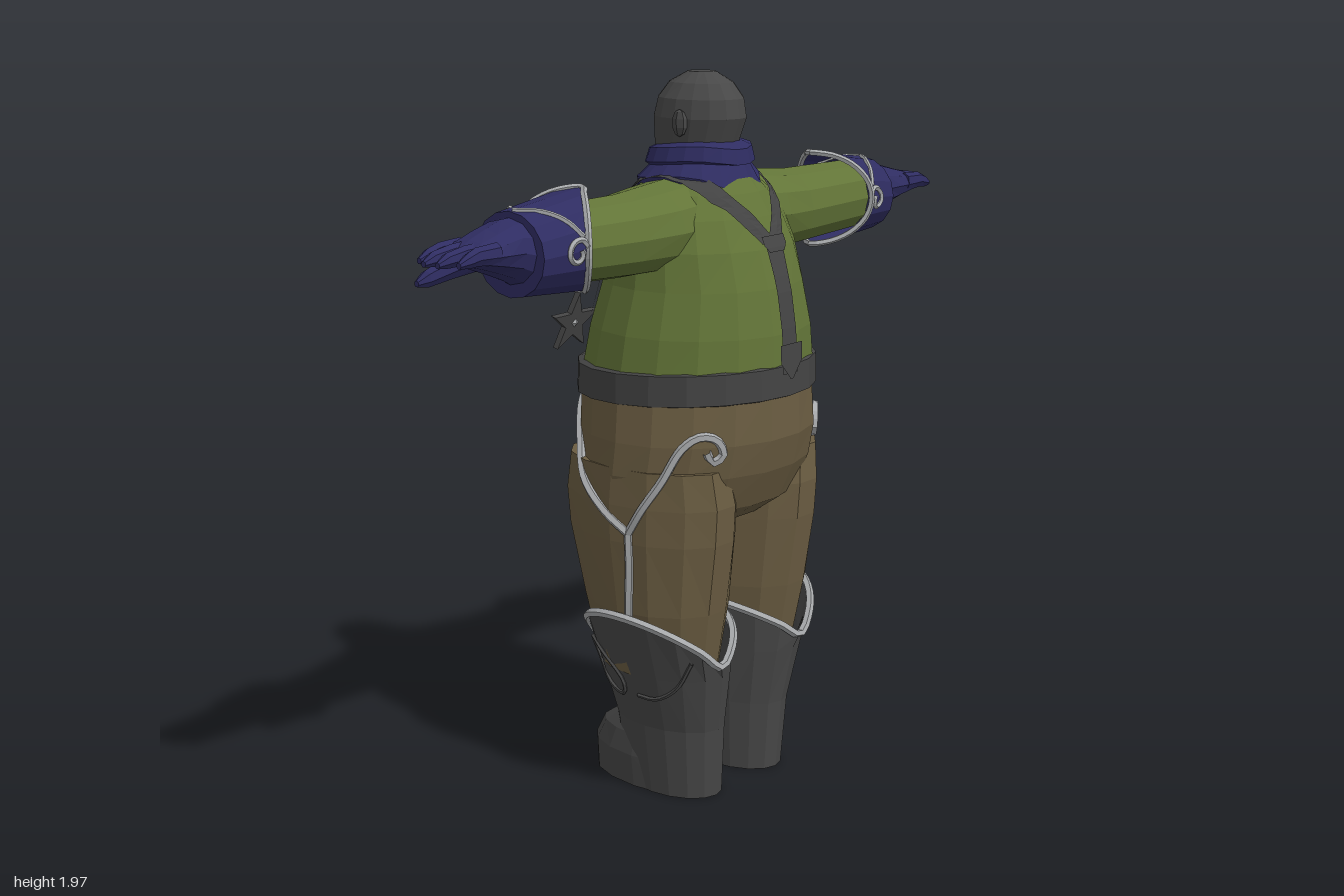
import * as THREE from 'three';

const V = (x, y, z) => new THREE.Vector3(x, y, z);
const RAD = Math.PI / 180;
const mat = (name, color, side = THREE.FrontSide) => {
  const m = new THREE.MeshStandardMaterial({ color, side });
  m.name = name;
  return m;
};

// Faceted normals
const flat = (geo) => {
  const g = geo.index ? geo.toNonIndexed() : geo;
  g.computeVertexNormals();
  return g;
};

// Skin between rings of equal length, closed at the chosen ends
function loft(rings, capStart = true, capEnd = true) {
  const out = [], n = rings[0].length;
  const tri = (...ps) => ps.forEach((p) => out.push(p.x, p.y, p.z));
  const centre = (r) => r.reduce((s, p) => s.add(p), V(0, 0, 0)).divideScalar(n);
  for (let i = 0; i < rings.length - 1; i++) {
    for (let j = 0; j < n; j++) {
      const k = (j + 1) % n, a = rings[i], b = rings[i + 1];
      tri(a[j], a[k], b[k]);
      tri(a[j], b[k], b[j]);
    }
  }
  const first = rings[0], last = rings[rings.length - 1], c0 = centre(first), c1 = centre(last);
  for (let j = 0; j < n; j++) {
    const k = (j + 1) % n;
    if (capStart) tri(c0, first[k], first[j]);
    if (capEnd) tri(c1, last[j], last[k]);
  }
  const g = new THREE.BufferGeometry();
  g.setAttribute('position', new THREE.Float32BufferAttribute(out, 3));
  return flat(g);
}
const angles = (n) => Array.from({ length: n }, (_, j) => (j / n) * Math.PI * 2);

// Upright loft, sections [y, centreX, radiusX, zMax, zMin]; warp may move points
const yRings = (secs, n = 16, warp = () => {}) => secs.map(([y, cx, rx, z1, z0], i) => angles(n).map((a) => {
  const p = V(cx + rx * Math.cos(a), y, (z1 + z0) / 2 - (z1 - z0) / 2 * Math.sin(a));
  warp(p, i, a);
  return p;
}));
// Sideways loft, sections [x, centreY, radiusY, centreZ, radiusZ]
const xLoft = (secs, n = 12) => loft(secs.map(([x, cy, ry, cz, rz]) =>
  angles(n).map((a) => V(x, cy + ry * Math.cos(a), cz + rz * Math.sin(a)))));

const tube = (pts, r = 0.01, closed = false) => flat(new THREE.TubeGeometry(
  new THREE.CatmullRomCurve3(pts, closed, 'centripetal'), pts.length * 3, r, 5, closed));

function mirrored(geo) {
  const g = geo.clone().scale(-1, 1, 1), p = g.attributes.position;
  for (let i = 0; i < p.count; i += 3) {
    const b = V().fromBufferAttribute(p, i + 1), c = V().fromBufferAttribute(p, i + 2);
    p.setXYZ(i + 1, c.x, c.y, c.z);
    p.setXYZ(i + 2, b.x, b.y, b.z);
  }
  return flat(g);
}

export function createModel() {
  const model = new THREE.Group();
  const D = THREE.DoubleSide;
  const green = mat('greenShirt', 0x637538), brown = mat('brownTrousers', 0x6b5d42);
  const blue = mat('navyCloth', 0x2f2d62, D), hood = mat('greyHood', 0x484848);
  const leather = mat('darkLeather', 0x444444, D), boot = mat('bootLeather', 0x474747, D);
  const silver = mat('silverTrim', 0xa9abad);

  const add = (name, geo, m) => {
    const mesh = new THREE.Mesh(geo, m);
    mesh.name = name;
    model.add(mesh);
    return mesh;
  };
  const pair = (name, geo, m) => [add(name + 'Left', geo, m), add(name + 'Right', mirrored(geo), m)];

  // Head with ears
  add('head', loft(yRings([
    [1.70, 0, 0.08, 0.07, -0.09], [1.76, 0, 0.098, 0.115, -0.118], [1.85, 0, 0.108, 0.15, -0.122],
    [1.90, 0, 0.1, 0.142, -0.108], [1.94, 0, 0.074, 0.112, -0.075], [1.968, 0, 0.034, 0.06, -0.02],
  ])), hood);
  pair('ear', flat(new THREE.SphereGeometry(1, 6, 5).scale(0.014, 0.036, 0.024).translate(0.108, 1.84, 0.035)), hood);

  // Scarf: two tilted rolls, drooping to a point behind
  add('scarf', loft(yRings([
    [1.64, 0, 0.1, 0.14, -0.13], [1.655, 0, 0.15, 0.18, -0.165], [1.70, 0, 0.155, 0.182, -0.165],
    [1.73, 0, 0.125, 0.15, -0.13], [1.738, 0, 0.137, 0.168, -0.142], [1.775, 0, 0.125, 0.16, -0.13],
    [1.785, 0, 0.1, 0.12, -0.1],
  ], 18, (p, i) => {
    p.y += 0.1 * p.z - (i < 3 ? 0.05 : 0.025) * Math.max(0, p.z / 0.17) ** 4;
  })), blue);

  // Shirt
  const torso = add('shirt', loft(yRings([
    [1.17, 0, 0.322, 0.322, -0.308], [1.30, 0, 0.306, 0.314, -0.28], [1.42, 0, 0.277, 0.292, -0.243],
    [1.52, 0, 0.265, 0.26, -0.21], [1.60, 0, 0.24, 0.222, -0.175], [1.66, 0, 0.19, 0.19, -0.15],
    [1.71, 0, 0.12, 0.155, -0.125], [1.74, 0, 0.08, 0.11, -0.09],
  ], 18)), green);
  const sleeves = pair('sleeve', xLoft([
    [0.08, 1.585, 0.12, 0.02, 0.14], [0.22, 1.575, 0.115, 0.02, 0.135],
    [0.35, 1.57, 0.108, 0.025, 0.108], [0.62, 1.575, 0.1, 0.025, 0.1],
  ]), green);

  // Belt
  add('belt', loft(yRings([
    [1.118, 0, 0.318, 0.315, -0.312], [1.122, 0, 0.33, 0.327, -0.325],
    [1.203, 0, 0.328, 0.325, -0.322], [1.21, 0, 0.31, 0.31, -0.3],
  ], 20, (p) => { p.y += 0.04 * p.z; })), leather);

  // Trousers
  const hips = add('trouserSeat', loft(yRings([
    [0.775, 0, 0.27, 0.17, -0.2], [0.83, 0, 0.325, 0.25, -0.265], [0.93, 0, 0.345, 0.297, -0.295],
    [1.02, 0, 0.34, 0.318, -0.3], [1.16, 0, 0.322, 0.315, -0.308],
  ], 18)), brown);
  const legs = pair('trouserLeg', loft(yRings([
    [0.36, 0.165, 0.13, 0.19, -0.175], [0.55, 0.172, 0.162, 0.225, -0.215],
    [0.75, 0.177, 0.171, 0.255, -0.268], [0.85, 0.178, 0.17, 0.262, -0.28], [0.95, 0.19, 0.152, 0.25, -0.26],
  ], 14)), brown);

  // Boots with pointed tops and forward feet
  const shaft = yRings([
    [0, 0.133, 0.098, 0.185, -0.12], [0.2, 0.14, 0.11, 0.198, -0.15],
    [0.36, 0.156, 0.138, 0.225, -0.185], [0.4, 0.173, 0.17, 0.236, -0.205],
  ], 16, (p, i, a) => {
    const c = Math.cos(a);
    if (i === 3) p.y += (c > 0 ? 0.14 : 0.11) * Math.abs(c);
  });
  const shafts = pair('bootShaft', loft(shaft, true, false), boot);
  pair('bootFoot', loft(yRings([
    [0, 0.133, 0.1, 0.18, -0.243], [0.09, 0.133, 0.104, 0.17, -0.245],
    [0.15, 0.133, 0.094, 0.15, -0.212], [0.2, 0.135, 0.075, 0.13, -0.14],
  ], 14)), boot);
  pair('bootTrim', tube(shaft[3], 0.012, true), silver);

  // Surface finder: first hit of a ray travelling from outside towards a pivot
  const ray = new THREE.Raycaster();
  const surface = (meshes, pivot, dir, lift) => {
    ray.set(pivot.clone().addScaledVector(dir, 1), dir.clone().negate());
    const hit = ray.intersectObjects(meshes, false)[0];
    return (hit ? hit.point : pivot.clone()).addScaledVector(dir, lift);
  };
  // Around the body: pairs [degrees from +x towards +z, y]
  const around = (meshes, pts) => pts.map(([a, y]) =>
    surface(meshes, V(0, y, 0), V(Math.cos(a * RAD), 0, Math.sin(a * RAD)), 0.004));

  // Forked scroll trim on the trouser sides
  const cloth = [hips, ...legs];
  [
    [[7, 0.53], [8, 0.6], [9, 0.7], [9, 0.78]],
    [[9, 0.78], [16, 0.85], [25, 0.93], [34, 1.02], [42, 1.05], [50, 1.04], [53, 1.0], [48, 0.98], [45, 1.01]],
    [[9, 0.78], [-4, 0.83], [-18, 0.9], [-33, 0.99], [-48, 1.06], [-62, 1.08], [-71, 1.05], [-71, 1.0], [-65, 0.98], [-61, 1.01]],
  ].forEach((pts, i) => pair('trouserTrim' + (i + 1), tube(around(cloth, pts), 0.0125), silver));

  // Raised stitching on the boot sides
  [
    [[-33, 0.42], [-20, 0.4], [-4, 0.33], [-6, 0.29], [-20, 0.3], [-32, 0.36], [-33, 0.42]],
    [[38, 0.42], [30, 0.34], [18, 0.3], [6, 0.3]],
  ].forEach((pts, i) => pair('bootStitch' + (i + 1), tube(around(shafts, pts), 0.006), boot));

  // Ribbon over the torso: stops [degrees from +z over the top, x, half width]
  const shirt = [torso, ...sleeves];
  const ribbon = (stops, lift) => {
    const rows = [], steps = 5;
    for (let i = 0; i < stops.length - 1; i++) {
      for (let s = i ? 1 : 0; s <= steps; s++) {
        const [a, x, w] = stops[i].map((v, k) => THREE.MathUtils.lerp(v, stops[i + 1][k], s / steps));
        const dir = V(0, Math.sin(a * RAD), Math.cos(a * RAD));
        rows.push([-w, 0, w].map((d) => surface(shirt, V(x + d, 1.45, 0), dir, lift)));
      }
    }
    const idx = [];
    for (let i = 0; i < rows.length - 1; i++) {
      for (let j = 0; j < 2; j++) {
        const a = i * 3 + j;
        idx.push(a, a + 1, a + 4, a, a + 4, a + 3);
      }
    }
    const g = new THREE.BufferGeometry().setFromPoints(rows.flat());
    g.setIndex(idx);
    return flat(g);
  };
  pair('brace', ribbon([
    [18, 0.012, 0.03], [30, 0.05, 0.028], [50, 0.11, 0.025], [75, 0.145, 0.024], [110, 0.15, 0.024],
    [140, 0.152, 0.024], [170, 0.165, 0.024], [212, 0.185, 0.025],
  ], 0.012), leather);
  add('braceStem', ribbon([[20, 0, 0.034], [0, 0, 0.03], [-38, 0, 0.03]], 0.014), leather);
  add('braceJoint', ribbon([[22, 0, 0.045], [17, 0, 0.045], [13, 0, 0.03]], 0.019), leather);
  add('braceTab', ribbon([[-28, 0, 0.045], [-34, 0, 0.045], [-39, 0, 0.006]], 0.02), leather);
  add('diamondPatch', ribbon([[166, 0, 0.001], [179, 0, 0.045], [192, 0, 0.001]], 0.006), blue);

  // Star clasps on the brace ends
  const star = new THREE.Shape(Array.from({ length: 10 }, (_, i) => {
    const r = i % 2 ? 0.035 : 0.088, a = (90 + i * 36) * RAD;
    return new THREE.Vector2(r * Math.cos(a), r * Math.sin(a));
  }));
  const place = (g) => flat(g.rotateX(0.25).translate(0.185, 1.285, -0.295));
  pair('claspStar', place(new THREE.ExtrudeGeometry(star, { depth: 0.018, bevelEnabled: false })), leather);
  pair('claspGem', place(new THREE.OctahedronGeometry(1).scale(0.045, 0.045, 0.025)), silver);

  // Glove cuffs, pointed above and below
  const cuffPoint = (t, a) => {
    const mix = (p, q) => THREE.MathUtils.lerp(p, q, t);
    return V(mix(0.475 + 0.115 * Math.abs(Math.sin(a)), 0.725), mix(1.58, 1.57) + mix(0.13, 0.107) * Math.cos(a),
      mix(0.025, 0.02) + mix(0.132, 0.118) * Math.sin(a));
  };
  const cuffRing = (t) => angles(16).map((a) => cuffPoint(t, a));
  pair('gloveCuff', loft([0, 0.5, 1].map(cuffRing), false, true), blue);
  pair('cuffTrim', tube(cuffRing(0), 0.009, true), silver);
  for (const s of [1, -1]) {
    const side = s > 0 ? 'Back' : 'Front';
    const curl = Array.from({ length: 10 }, (_, i) => {
      const a = (-160 + i * 42) * RAD, r = 1 - i * 0.07;
      return cuffPoint(0.24 + 0.25 * r * Math.cos(a), s * (92 + 17 * r * Math.sin(a)) * RAD);
    });
    pair('cuffCurl' + side, tube(curl, 0.008), silver);
    const rise = [[0.1, 75], [0.4, 52], [0.7, 28], [0.97, 2]].map(([t, a]) => cuffPoint(t, s * a * RAD));
    pair('cuffLine' + side, tube(rise, 0.007), silver);
  }

  // Gloved hands: palm, four fingers and a thumb
  pair('palm', xLoft([
    [0.70, 1.572, 0.09, 0.02, 0.1], [0.75, 1.585, 0.075, 0.02, 0.085], [0.81, 1.588, 0.055, 0.025, 0.088],
    [0.87, 1.59, 0.036, 0.033, 0.082], [0.9, 1.588, 0.024, 0.035, 0.07],
  ]), blue);
  [[-0.03, 0.975], [0.012, 1.0], [0.054, 0.995], [0.094, 0.965]].forEach(([z, tip], i) => pair('finger' + (i + 1), xLoft([
    [0.84, 1.595, 0.028, z, 0.021], [0.91, 1.596, 0.023, z, 0.02],
    [tip - 0.03, 1.59, 0.019, z, 0.018], [tip, 1.582, 0.008, z, 0.008],
  ], 7), blue));
  pair('thumb', xLoft([
    [0.77, 1.57, 0.035, -0.03, 0.035], [0.84, 1.545, 0.03, -0.07, 0.026],
    [0.9, 1.522, 0.022, -0.09, 0.02], [0.925, 1.512, 0.008, -0.097, 0.008],
  ], 7), blue);

  return model;
}
